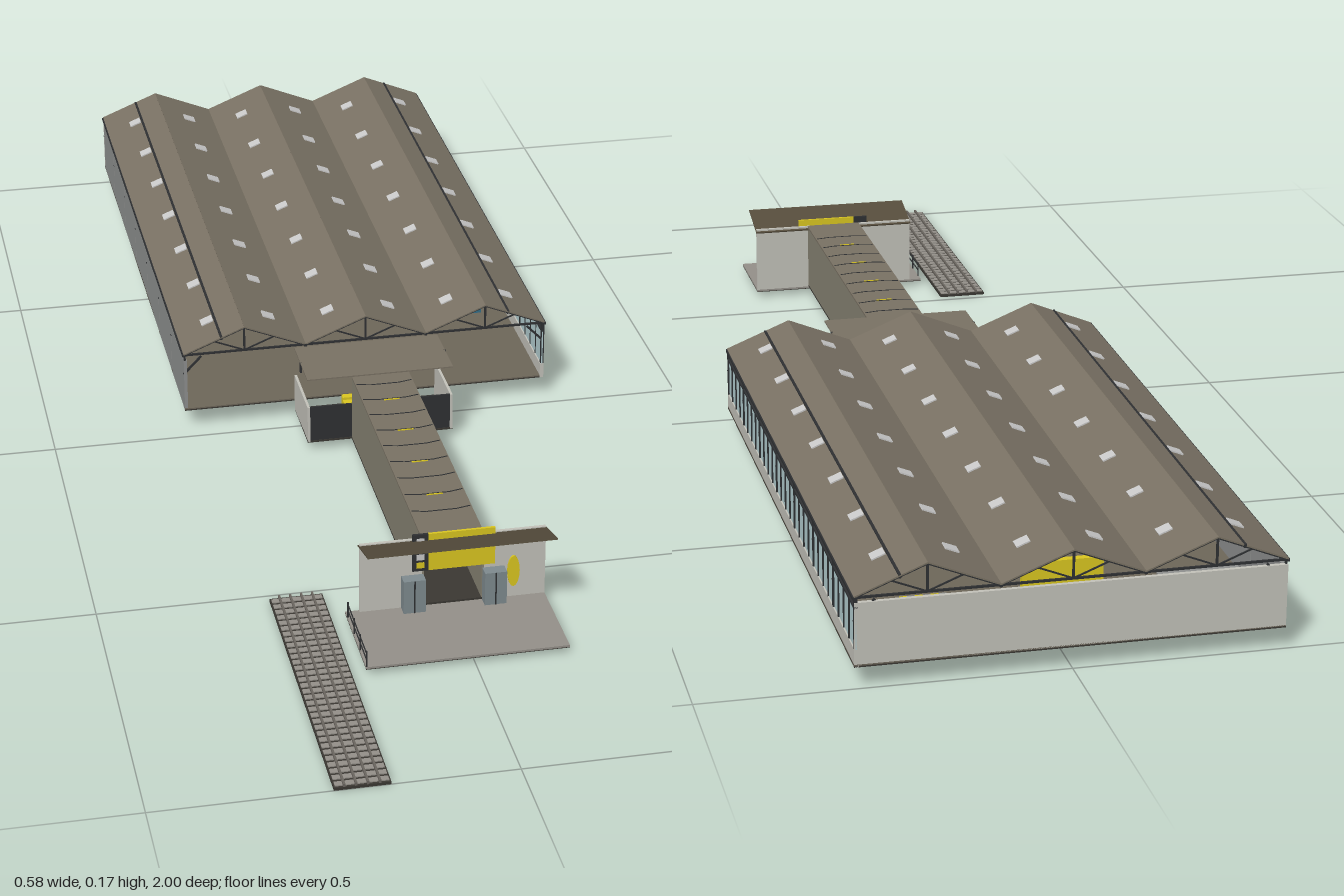
import * as THREE from 'three';

const C = {
  roof: 0x7a7264, floor: 0x6e675a, under: 0x3b3833, wall: 0xc4c3bb, panel: 0x8f9190, tunnel: 0x878373,
  steel: 0x2f3133, glass: 0xb3cdd0, yellow: 0xdcc821, canopy: 0x564d3c, paving: 0x95918a, door: 0x7f8b8f,
  teal: 0x33708a, light: 0xdddddd, green: 0xb4c24a, sleeper: 0x6b6660,
};
const mats = {};
const mat = (k) => (mats[k] ??= new THREE.MeshStandardMaterial({ color: C[k] }));

// Box given by its limits on each axis
function box(parent, name, color, x0, x1, y0, y1, z0, z1) {
  const m = new THREE.Mesh(new THREE.BoxGeometry(x1 - x0, y1 - y0, z1 - z0), mat(color));
  m.name = name;
  m.position.set((x0 + x1) / 2, (y0 + y1) / 2, (z0 + z1) / 2);
  parent.add(m);
  return m;
}

// Square bar between two points
function bar(parent, name, color, a, b, t) {
  const A = new THREE.Vector3(...a), B = new THREE.Vector3(...b);
  const m = new THREE.Mesh(new THREE.BoxGeometry(t, t, A.distanceTo(B)), mat(color));
  m.name = name;
  m.position.copy(A).add(B).multiplyScalar(0.5);
  m.lookAt(B);
  parent.add(m);
}

function group(parent, name) {
  const g = new THREE.Group();
  g.name = name;
  parent.add(g);
  return g;
}

const W = 0.29, BACK = -1, FRONT = -0.03, FLOOR = 0.033, EAVE = 0.127, RIDGE = 0.166;
const HALF = W / 3, BAYS = [-2 * HALF, 0, 2 * HALF];

function buildHall(root) {
  const hall = group(root, 'hall');
  box(hall, 'hallUnderside', 'under', -W, W, 0.03, 0.032, BACK, FRONT);
  box(hall, 'hallFloor', 'floor', -W, W, 0.032, FLOOR + 0.001, BACK, FRONT);
  box(hall, 'backWall', 'wall', -W, W, 0.03, 0.12, BACK, BACK + 0.006);

  // Panelled wall on the right-hand side
  const n = 7, step = (FRONT - BACK) / n;
  for (let i = 0; i < n; i++) {
    const z = BACK + i * step;
    box(hall, 'sidePanel', 'panel', -W, -W + 0.005, 0.03, 0.117, z + 0.0015, z + step - 0.0015);
  }

  // Glazed wall on the left-hand side
  box(hall, 'sillWall', 'wall', W - 0.006, W, 0.03, 0.055, BACK, FRONT);
  box(hall, 'glazing', 'glass', W - 0.004, W - 0.002, 0.055, 0.113, BACK, FRONT);
  box(hall, 'glazingHead', 'steel', W - 0.005, W, 0.111, 0.114, BACK, FRONT);
  for (let i = 0; i <= 28; i++) {
    const z = BACK + 0.003 + (i * (FRONT - BACK - 0.006)) / 28, t = i % 4 ? 0.001 : 0.0025;
    box(hall, 'mullion', 'steel', W - 0.005, W, 0.055, i % 4 ? 0.113 : EAVE, z - t, z + t);
  }

  // Gabled roof slopes with skylights
  const len = Math.hypot(HALF, RIDGE - EAVE), tilt = Math.atan2(RIDGE - EAVE, HALF);
  for (const cx of BAYS) for (const s of [-1, 1]) {
    const slope = group(hall, 'roofSlope');
    slope.position.set(cx + (s * HALF) / 2, (RIDGE + EAVE) / 2 + 0.001, 0);
    slope.rotation.z = -s * tilt;
    box(slope, 'roofSheet', 'roof', -len / 2, len / 2, -0.001, 0.001, BACK, FRONT);
    for (let i = 0; i < 7; i++) {
      const z = -0.917 + i * 0.136;
      box(slope, 'skylight', 'light', -0.01, 0.01, 0, 0.003, z - 0.01, z + 0.01);
    }
  }
  for (const x of [-W, -HALF, HALF, W])
    box(hall, 'gutter', 'steel', x - 0.002, x + 0.002, 0.124, 0.128, BACK, FRONT);
  for (const x of [-0.23, 0.23])
    box(hall, 'roofSeam', 'steel', x - 0.002, x + 0.002, 0.149, 0.154, BACK, FRONT);

  // Roof trusses, columns and knee braces
  for (let i = 0; i <= 7; i++) {
    const z = BACK + 0.004 + (i * (FRONT - BACK - 0.008)) / 7, q = HALF / 2, mid = (RIDGE + EAVE) / 2;
    const truss = group(hall, 'roofTruss');
    for (const cx of BAYS) {
      bar(truss, 'bottomChord', 'steel', [cx - HALF, 0.126, z], [cx + HALF, 0.126, z], 0.003);
      bar(truss, 'kingPost', 'steel', [cx, 0.126, z], [cx, RIDGE, z], 0.003);
      for (const s of [-1, 1]) {
        bar(truss, 'rafter', 'steel', [cx + s * HALF, EAVE - 0.001, z], [cx, RIDGE - 0.001, z], 0.003);
        bar(truss, 'strut', 'steel', [cx, 0.126, z], [cx + s * q, mid - 0.001, z], 0.002);
      }
    }
    for (const s of [-1, 1]) {
      bar(truss, 'column', 'steel', [s * (W - 0.002), FLOOR, z], [s * (W - 0.002), EAVE, z], 0.003);
      bar(truss, 'kneeBrace', 'steel', [s * W, 0.093, z], [s * (W - 0.028), 0.122, z], 0.003);
    }
  }
  buildDisplays(hall);
}

// Partitions and furniture inside the hall
function buildDisplays(hall) {
  const g = group(hall, 'displays');
  box(g, 'centreScreen', 'yellow', -0.055, 0.055, FLOOR, 0.13, -0.945, -0.935);
  box(g, 'shelfBack', 'panel', -0.247, -0.135, FLOOR, 0.09, -0.93, -0.92);
  for (let i = 0; i < 3; i++)
    box(g, 'shelfPanel', 'green', -0.227 + i * 0.031, -0.2 + i * 0.031, 0.038, 0.088, -0.92, -0.917);
  for (let i = 0; i < 6; i++) for (let j = 0; j < 5; j++)
    box(g, 'chequerTile', (i + j) % 2 ? 'yellow' : 'panel',
      0.152 + i * 0.0105, 0.1625 + i * 0.0105, 0.04 + j * 0.01, 0.05 + j * 0.01, -0.93, -0.925);
  box(g, 'counter', 'teal', 0.2, 0.244, FLOOR, 0.055, -0.3, -0.27);
  ovalSign(g, 0.264, 0.078, -0.99, 0.007, 0.018);
}

function ovalSign(parent, x, y, z, rx, ry) {
  const m = new THREE.Mesh(new THREE.CylinderGeometry(1, 1, 0.003, 16), mat('yellow'));
  m.name = 'ovalPanel';
  m.rotation.x = Math.PI / 2;
  m.scale.set(rx, 1, ry);
  m.position.set(x, y, z);
  parent.add(m);
}

function buildVestibule(root) {
  const g = group(root, 'vestibule');
  box(g, 'vestibuleFloor', 'under', -0.115, 0.115, 0.014, 0.017, FRONT, 0.083);
  box(g, 'vestibuleRoof', 'roof', -0.115, 0.115, 0.122, 0.124, FRONT, 0.083);
  for (const s of [-1, 1]) {
    const span = (a, b) => [Math.min(s * a, s * b), Math.max(s * a, s * b)];
    box(g, 'sideWall', 'wall', ...span(0.111, 0.115), 0.015, 0.075, FRONT, 0.083);
    box(g, 'frontWall', 'steel', ...span(0.045, 0.111), 0.015, 0.075, 0.079, 0.082);
    box(g, 'lamp', 'steel', ...span(0.113, 0.116), 0.108, 0.124, 0.023, 0.027);
  }
  // Steps up to the hall floor
  for (let i = 0; i < 4; i++)
    box(g, 'step', 'yellow', -0.04, 0.04, 0.016, 0.021 + i * 0.004, FRONT + 0.036 - i * 0.012, FRONT + 0.048 - i * 0.012);
}

function buildTunnel(root) {
  const g = group(root, 'tunnel'), z0 = 0.083, z1 = 0.59;
  box(g, 'tunnelFloor', 'under', -0.045, 0.045, 0.013, 0.016, z0, z1);
  box(g, 'tunnelRoof', 'roof', -0.045, 0.045, 0.119, 0.122, z0, z1);
  for (const x of [-0.045, 0.042]) box(g, 'tunnelWall', 'tunnel', x, x + 0.003, 0.016, 0.119, z0, z1);
  // Shallow curved ribs across the roof
  for (let i = 0; i < 9; i++) {
    const z = 0.115 + i * 0.05;
    const pts = [[-0.043, z - 0.005], [-0.022, z], [0.022, z], [0.043, z - 0.005]];
    for (let k = 0; k < 3; k++)
      bar(g, 'roofRib', 'steel', [pts[k][0], 0.122, pts[k][1]], [pts[k + 1][0], 0.122, pts[k + 1][1]], 0.0015);
    if (i % 2) box(g, 'ribMarker', 'yellow', -0.012, 0.012, 0.121, 0.1232, z + 0.002, z + 0.004);
  }
}

function buildEntrance(root) {
  const g = group(root, 'entrance');
  box(g, 'platform', 'paving', -0.155, 0.135, 0.01, 0.013, 0.585, 0.735);
  box(g, 'platformUnderside', 'under', -0.155, 0.135, 0.009, 0.01, 0.585, 0.735);

  // Front wall with a doorway
  const s = new THREE.Shape();
  [[-0.135, 0.012], [-0.043, 0.012], [-0.043, 0.072], [0.043, 0.072], [0.043, 0.012], [0.135, 0.012],
    [0.135, 0.122], [-0.135, 0.122]].forEach(([x, y], i) => (i ? s.lineTo(x, y) : s.moveTo(x, y)));
  const wall = new THREE.Mesh(new THREE.ExtrudeGeometry(s, { depth: 0.005, bevelEnabled: false }), mat('wall'));
  wall.name = 'entranceWall';
  wall.position.z = 0.585;
  g.add(wall);

  for (const x of [-0.075, 0.043]) {
    box(g, 'slidingDoor', 'door', x, x + 0.032, 0.013, 0.065, 0.59, 0.608);
    box(g, 'doorSeam', 'steel', x + 0.015, x + 0.017, 0.013, 0.065, 0.608, 0.609);
  }
  box(g, 'signBoard', 'yellow', -0.037, 0.06, 0.073, 0.132, 0.591, 0.595);
  box(g, 'signStrip', 'steel', -0.06, -0.037, 0.073, 0.132, 0.591, 0.595);
  for (let i = 0; i < 4; i++)
    box(g, 'stripTile', i % 2 ? 'light' : 'yellow', -0.054, -0.043, 0.078 + i * 0.013, 0.087 + i * 0.013, 0.595, 0.596);
  ovalSign(g, 0.088, 0.056, 0.592, 0.009, 0.025);

  // Canopy rising outwards
  const canopy = box(g, 'canopy', 'canopy', -0.137, 0.135, -0.001, 0.001, -0.037, 0.037);
  canopy.position.set(0, 0.127, 0.617);
  canopy.rotation.x = -0.27;
  for (const x of [-0.116, 0.116]) bar(g, 'canopyBracket', 'steel', [x, 0.108, 0.59], [x, 0.134, 0.645], 0.003);

  // Handrail along the platform edge
  for (const y of [0.024, 0.034]) bar(g, 'handrail', 'steel', [-0.154, y, 0.6], [-0.154, y, 0.733], 0.0015);
  for (let i = 0; i < 4; i++) {
    const z = 0.601 + i * 0.044;
    bar(g, 'railPost', 'steel', [-0.154, 0.012, z], [-0.154, 0.038, z], 0.002);
  }
}

function buildTrack(root) {
  const g = group(root, 'track');
  box(g, 'trackBed', 'under', -0.252, -0.175, 0, 0.004, 0.515, 1);
  for (let i = 0; i < 32; i++) {
    const z = 0.519 + i * 0.0151;
    box(g, 'sleeper', 'paving', -0.25, -0.177, 0.004, 0.0055, z, z + 0.0095);
  }
  for (const x of [-0.238, -0.222, -0.206, -0.19]) box(g, 'rail', 'sleeper', x - 0.0015, x + 0.0015, 0.004, 0.009, 0.515, 1);
}

export function createModel() {
  const root = new THREE.Group();
  root.name = 'pavilion';
  buildHall(root);
  buildVestibule(root);
  buildTunnel(root);
  buildEntrance(root);
  buildTrack(root);
  return root;
}
